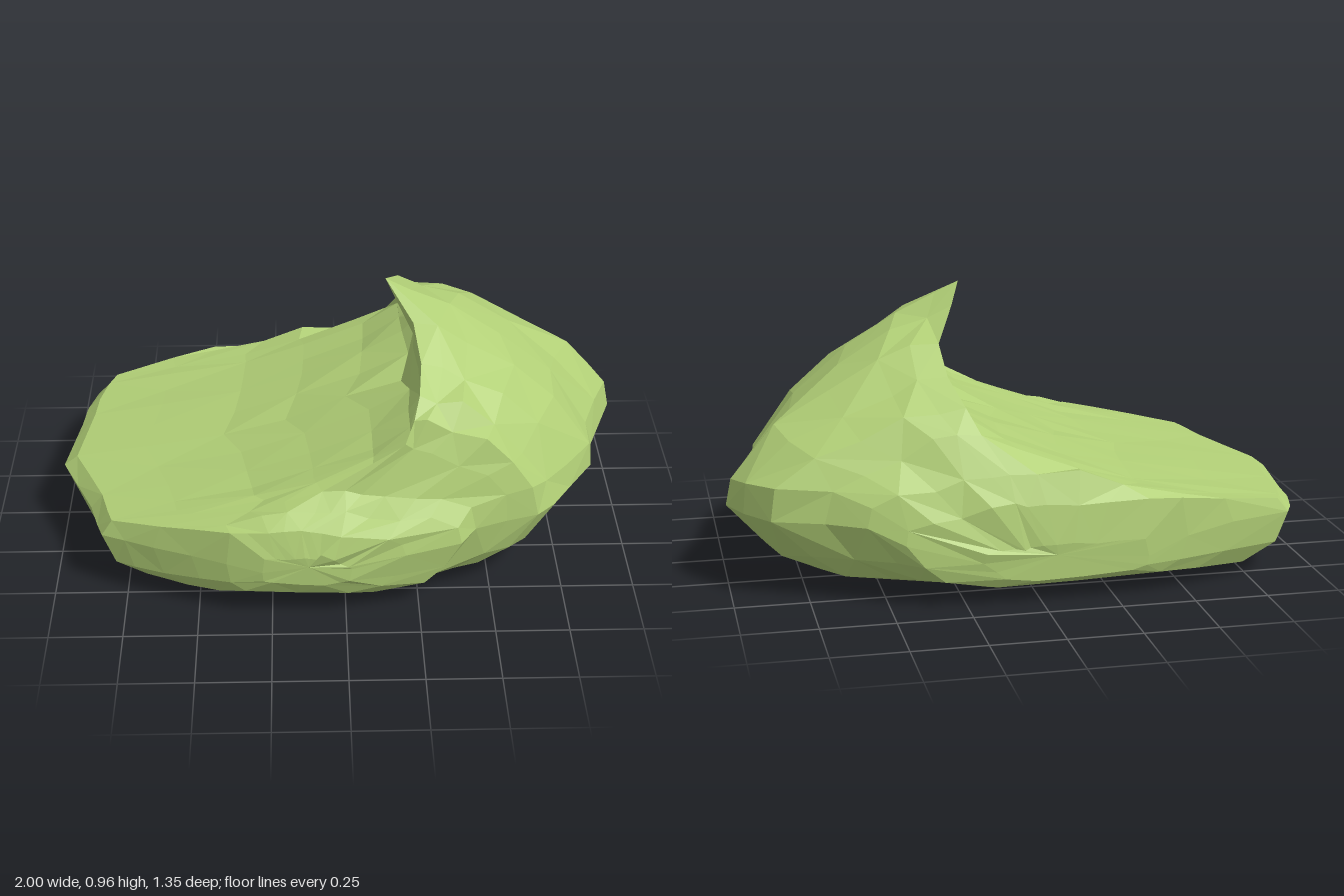
import * as THREE from 'three';

// One row per slice from back to front: z, left x, right x, crest x, crest y, base y, lip overhang
const SLICES = [
  [-0.67, -0.36, 0.2, 0.0, 0.2, 0.08, 0],
  [-0.65, -0.5, 0.45, 0.05, 0.33, 0.06, 0],
  [-0.61, -0.67, 0.57, 0.1, 0.43, 0.05, 0],
  [-0.54, -0.89, 0.7, 0.18, 0.55, 0.035, 0],
  [-0.48, -0.92, 0.87, 0.22, 0.63, 0.03, 0],
  [-0.37, -0.95, 0.95, 0.26, 0.71, 0.02, 0],
  [-0.26, -0.96, 1.0, 0.27, 0.8, 0.015, 0.01],
  [-0.12, -0.98, 0.95, 0.2, 0.9, 0.01, 0.07],
  [0.02, -1.0, 0.9, 0.15, 0.96, 0.005, 0.1],
  [0.16, -0.94, 0.88, 0.24, 0.86, 0.0, 0.02],
  [0.3, -0.88, 0.79, 0.26, 0.78, 0.015, 0],
  [0.41, -0.85, 0.72, 0.25, 0.72, 0.03, 0],
  [0.47, -0.83, 0.66, 0.23, 0.66, 0.04, 0],
  [0.505, -0.75, 0.55, 0.2, 0.59, 0.045, 0],
  [0.55, -0.65, 0.44, 0.0, 0.44, 0.05, 0],
  [0.6, -0.52, 0.39, -0.05, 0.385, 0.06, 0],
  [0.645, -0.4, 0.2, -0.12, 0.34, 0.09, 0],
  [0.67, -0.28, 0.02, -0.12, 0.25, 0.14, 0],
];

// Rise of the sloping shelf from its thin left edge to the foot of the crest
const SHELF = [[-1, 0.25], [-0.85, 0.27], [-0.4, 0.34], [-0.18, 0.41], [0.1, 0.52], [0.22, 0.6], [0.3, 0.72]];
function shelfY(x) {
  for (let i = 1; i < SHELF.length; i++) {
    const [x0, y0] = SHELF[i - 1], [x1, y1] = SHELF[i];
    if (x <= x1) return THREE.MathUtils.mapLinear(x, x0, x1, y0, y1);
  }
  return 0.72;
}

let seed = 11;
function jitter(amount) {
  seed = (seed * 16807) % 2147483647;
  return (seed / 2147483647 - 0.5) * 2 * amount;
}

// Closed outline of one slice, anticlockwise as seen from the front
function section([z, xl, xr, cx, cy, yb, hook]) {
  const lerp = THREE.MathUtils.lerp;
  const w = (xr - xl) / 2;
  const tipL = Math.min(0.22, (yb + cy) / 2);
  const tipR = Math.min(0.28, lerp(yb, cy, 0.6));
  const shoulder = Math.min(0.38, lerp(yb, cy, 0.8));
  const points = [];
  const add = (x, y, rough = 0) =>
    points.push(new THREE.Vector3(x + jitter(rough), y + jitter(rough), z + jitter(rough * 0.5)));

  // Left edge and underside
  add(xl, tipL);
  add(xl + 0.05 * w, lerp(yb, tipL, 0.4), 0.008);
  add(xl + 0.2 * w, yb + 0.015);
  add(lerp(xl, xr, 0.4), yb + 0.005);
  add(lerp(xl, xr, 0.68), yb);
  add(xr - 0.27 * w, lerp(yb, tipR, 0.18));
  add(xr - 0.13 * w, lerp(yb, tipR, 0.45), 0.015);

  // Right edge and the outer slope up to the crest
  add(xr, tipR);
  add(xr - 0.02 * w, shoulder, 0.015);
  const bulge = 0.1 * THREE.MathUtils.clamp((cy - 0.4) / 0.4, 0.1, 1);
  for (const t of [0.22, 0.45, 0.7, 0.87]) {
    const x = lerp(xr - 0.02 * w, cx, t);
    add(x, lerp(shoulder, cy, t) + bulge * Math.sin(Math.PI * t), 0.018);
  }
  add(cx, cy);

  // Hollow face under the lip, then the shelf down to the left edge
  const footX = Math.min(0.22, cx), footY = Math.min(shelfY(footX), cy);
  add(cx + hook, lerp(cy, footY, 0.33));
  add(Math.max(lerp(cx, footX, 0.6), cx + hook), lerp(cy, footY, 0.68));
  add(footX + hook * 0.6, footY);
  const edge = xl + 0.05 * w;
  for (const t of [0.12, 0.32, 0.52, 0.78, 1]) {
    const x = lerp(footX, edge, t);
    add(x, Math.min(shelfY(x), cy), t < 1 ? 0.005 : 0);
  }
  return points;
}

export function createModel() {
  const rings = SLICES.map(section);
  const n = rings[0].length;
  const positions = [];
  const tri = (...corners) => corners.forEach((p) => positions.push(p.x, p.y, p.z));

  // Skin between neighbouring slices, with alternating diagonals
  for (let i = 0; i < rings.length - 1; i++) {
    for (let j = 0; j < n; j++) {
      const k = (j + 1) % n;
      const a = rings[i][j], b = rings[i][k], c = rings[i + 1][k], d = rings[i + 1][j];
      if ((i + j) % 2) { tri(a, b, c); tri(a, c, d); }
      else { tri(a, b, d); tri(b, c, d); }
    }
  }

  // Back and front ends
  for (const [ring, front] of [[rings[0], false], [rings[rings.length - 1], true]]) {
    const centre = ring.reduce((s, p) => s.add(p), new THREE.Vector3()).divideScalar(n);
    ring.forEach((p, j) => {
      const q = ring[(j + 1) % n];
      if (front) tri(centre, p, q);
      else tri(centre, q, p);
    });
  }

  const geometry = new THREE.BufferGeometry();
  geometry.setAttribute('position', new THREE.Float32BufferAttribute(positions, 3));
  geometry.computeVertexNormals();
  const rock = new THREE.Mesh(
    geometry,
    new THREE.MeshStandardMaterial({ color: 0xb2d077, flatShading: true, side: THREE.DoubleSide }),
  );
  rock.name = 'waveShapedRock';

  const model = new THREE.Group();
  model.name = 'rock';
  model.add(rock);
  return model;
}
